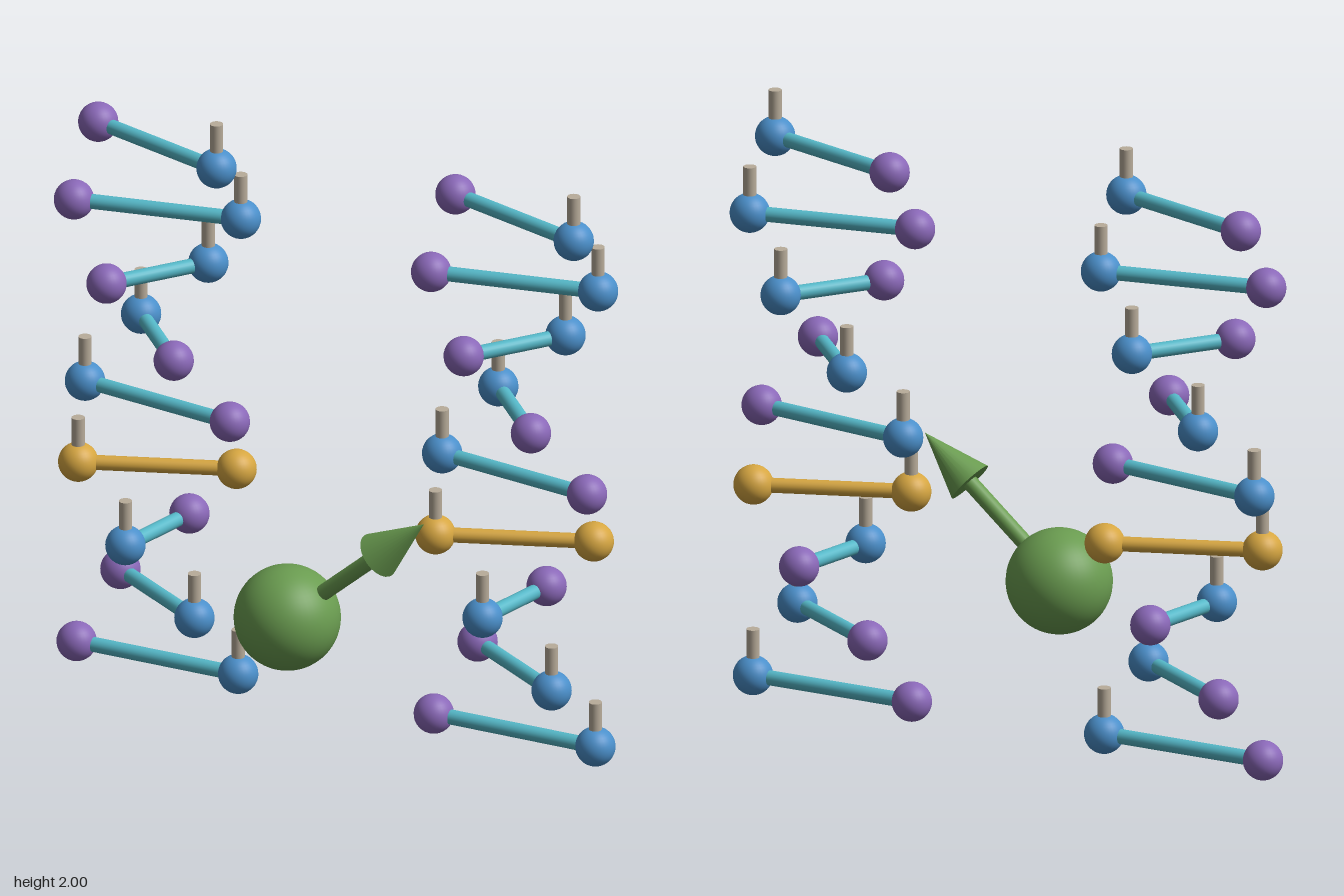
import * as THREE from 'three';

const mat = (name, color) => {
  const m = new THREE.MeshStandardMaterial({ color });
  m.name = name;
  return m;
};

export function createModel() {
  const blue = mat('blue', 0x4a8fca);
  const purple = mat('purple', 0x8a68b8);
  const teal = mat('teal', 0x55b8c8);
  const gold = mat('gold', 0xd6a641);
  const green = mat('green', 0x6a9c50);
  const stone = mat('stone', 0xb8ac9a);

  const model = new THREE.Group();
  model.name = 'twinHelix';

  const add = (parent, name, geometry, material, position) => {
    const mesh = new THREE.Mesh(geometry, material);
    mesh.name = name;
    mesh.position.copy(position);
    parent.add(mesh);
    return mesh;
  };
  const up = new THREE.Vector3(0, 1, 0);

  // Cylinder or cone laid between two points
  const rod = (parent, name, a, b, r0, r1, material) => {
    const dir = b.clone().sub(a);
    const geo = new THREE.CylinderGeometry(r1, r0, dir.length(), 24);
    const mesh = add(parent, name, geo, material, a.clone().add(b).multiplyScalar(0.5));
    mesh.quaternion.setFromUnitVectors(up, dir.normalize());
  };

  const ballGeo = new THREE.SphereGeometry(0.064, 32, 20);

  // One rung: two balls, a bar, and a peg standing on the first ball
  const rung = (i) => {
    const group = new THREE.Group();
    group.name = `rung${i + 1}`;
    const angle = THREE.MathUtils.degToRad(48.75 * i);
    const y = 0.066 + 0.2225 * i;
    const dx = 0.285 * Math.cos(angle);
    const dz = 0.155 * Math.sin(angle);
    const a = new THREE.Vector3(dx, y, dz);
    const b = new THREE.Vector3(-dx, y, -dz);
    const special = i === 3;
    rod(group, 'bar', a, b, 0.024, 0.024, special ? gold : teal);
    add(group, 'pegBall', ballGeo, special ? gold : blue, a);
    add(group, 'endBall', ballGeo, special ? gold : purple, b);
    rod(group, 'peg', a, a.clone().setY(y + 0.154), 0.021, 0.021, stone);
    return group;
  };

  // Two identical helices side by side
  for (const side of [-1, 1]) {
    const helix = new THREE.Group();
    helix.name = side < 0 ? 'rightHelix' : 'leftHelix';
    helix.position.set(0.63 * side, 0, -0.121);
    for (let i = 0; i < 9; i++) helix.add(rung(i));
    model.add(helix);
  }

  // Large ball with an arrow pointing up to the side
  const pointer = new THREE.Group();
  pointer.name = 'pointer';
  const centre = new THREE.Vector3(-0.03, 0.443, 0.167);
  const tip = new THREE.Vector3(0.452, 0.862, 0.167);
  const neck = centre.clone().lerp(tip, 0.665);
  add(pointer, 'pointerBall', new THREE.SphereGeometry(0.17, 48, 32), green, centre);
  rod(pointer, 'arrowShaft', centre, neck, 0.026, 0.026, green);
  rod(pointer, 'arrowHead', neck, tip, 0.077, 0, green);
  model.add(pointer);

  return model;
}
